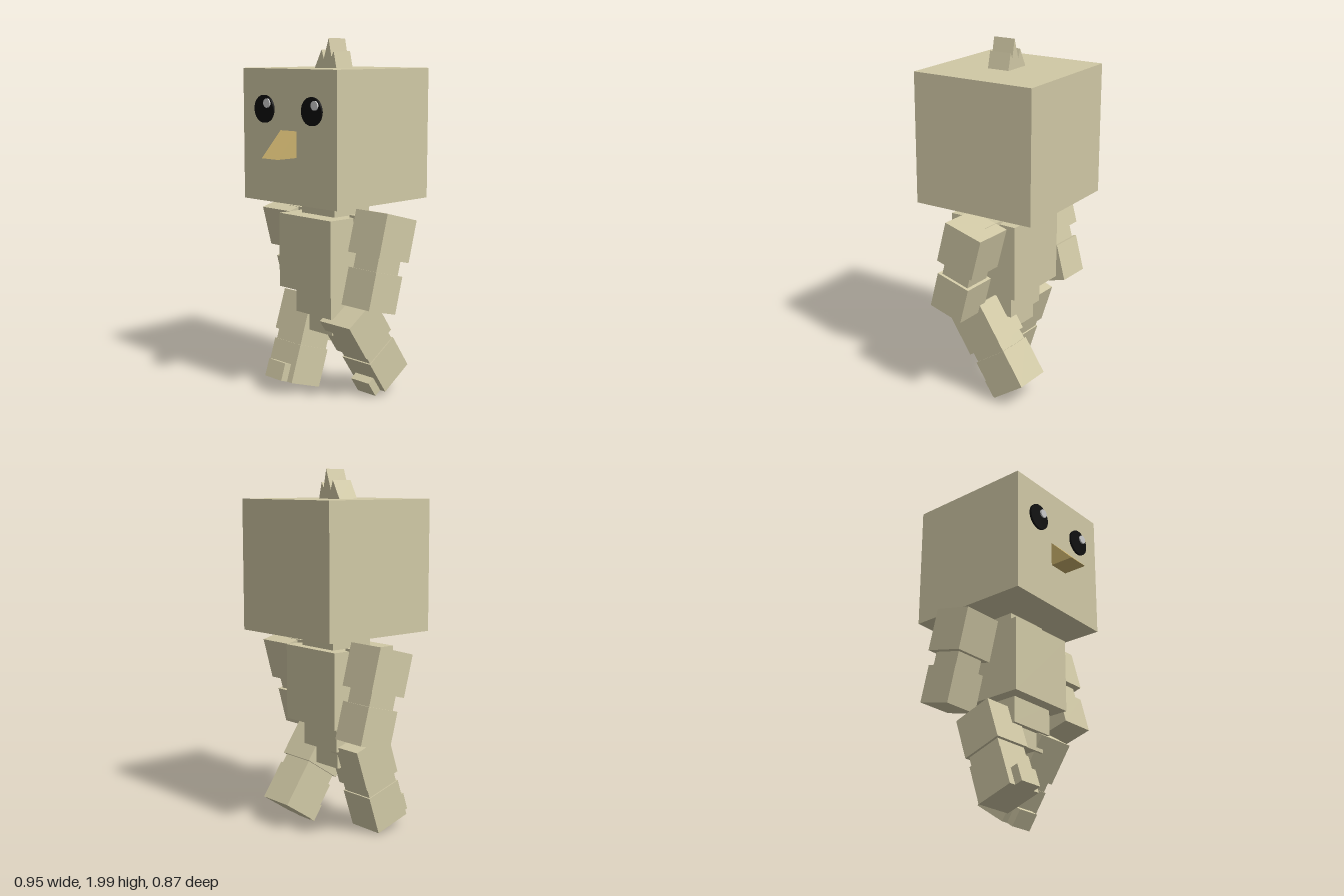
import * as THREE from 'three';

const mat = (color, flat = true) => new THREE.MeshStandardMaterial({ color, flatShading: flat });

export function createModel() {
  const model = new THREE.Group();
  const skin = mat(0xd0c8a5), black = mat(0x0c0c0c, false), shine = mat(0xcccccc, false), horn = mat(0xc9b06c);

  const add = (parent, name, geo, material, x = 0, y = 0, z = 0) => {
    const m = new THREE.Mesh(geo, material);
    m.name = name;
    m.position.set(x, y, z);
    parent.add(m);
    return m;
  };
  const box = (parent, name, [w, h, d], [x, y, z]) =>
    add(parent, name, new THREE.BoxGeometry(w, h, d), skin, x, y, z);
  const group = (name, x, y, z) => {
    const g = new THREE.Group();
    g.name = name;
    g.position.set(x, y, z);
    model.add(g);
    return g;
  };
  // Prism from a 2D outline, centred along its depth
  const prism = (points, depth) => {
    const shape = new THREE.Shape(points.map(([x, y]) => new THREE.Vector2(x, y)));
    return new THREE.ExtrudeGeometry(shape, { depth, bevelEnabled: false }).translate(0, 0, -depth / 2);
  };

  // Trunk
  box(model, 'neck', [0.265, 0.13, 0.265], [0, 1.07, -0.06]);
  box(model, 'torso', [0.42, 0.42, 0.42], [0, 0.825, -0.035]);
  box(model, 'pelvis', [0.285, 0.17, 0.285], [0, 0.555, -0.034]);
  box(model, 'hipJoint', [0.24, 0.14, 0.23], [0, 0.44, -0.035]);

  // Head, turned slightly
  const head = group('head', 0, 1.48, -0.063);
  head.rotation.y = 0.035;
  box(head, 'skull', [0.72, 0.72, 0.72], [0, 0, 0]);
  for (const s of [-1, 1]) {
    const eye = add(head, 'eye', new THREE.CylinderGeometry(0.075, 0.075, 0.03, 32), black, s * 0.183, 0.143, 0.357);
    const glint = add(head, 'eyeGlint', new THREE.CylinderGeometry(0.025, 0.025, 0.03, 24), shine, s * 0.183 + 0.03, 0.175, 0.365);
    eye.rotation.x = glint.rotation.x = Math.PI / 2;
  }
  const beak = add(head, 'beak', prism([[0, 0], [0.14, 0], [0, 0.145]], 0.125), horn, 0, -0.107, 0.356);
  beak.rotation.y = -Math.PI / 2;
  add(head, 'crest', prism([[-0.083, 0], [0.083, 0], [0.062, 0.09], [0.045, 0.06],
    [0.024, 0.16], [-0.013, 0.05], [-0.03, 0.1]], 0.128), skin, 0, 0.36, 0.018);

  // Arms and legs swing in opposite directions about the shoulder and hip
  for (const s of [-1, 1]) {
    const side = s > 0 ? 'left' : 'right';

    box(model, side + 'Shoulder', [0.15, 0.15, 0.15], [s * 0.255, 0.974, -0.07]);
    const arm = group(side + 'Arm', s * 0.357, 0.946, -0.07);
    arm.rotation.x = -s * THREE.MathUtils.degToRad(15);
    box(arm, 'upperArm', [0.235, 0.235, 0.235], [0, 0, 0]);
    box(arm, 'elbow', [0.172, 0.17, 0.172], [0, -0.157, 0]);
    box(arm, 'forearm', [0.208, 0.208, 0.208], [0, -0.3, 0]);

    const leg = group(side + 'Leg', s * 0.183, 0.42, s > 0 ? -0.042 : -0.016);
    leg.rotation.x = THREE.MathUtils.degToRad(s > 0 ? 34 : -18);
    box(leg, 'thigh', [0.235, 0.235, 0.235], [0, 0, 0]);
    box(leg, 'knee', [0.205, 0.17, 0.205], [0, -0.145, 0]);
    box(leg, 'shin', [0.22, 0.22, 0.22], [0, -0.283, 0]);
    box(leg, 'toe', [0.14, 0.1, 0.055], [0, -0.343, 0.128]);
  }
  return model;
}
